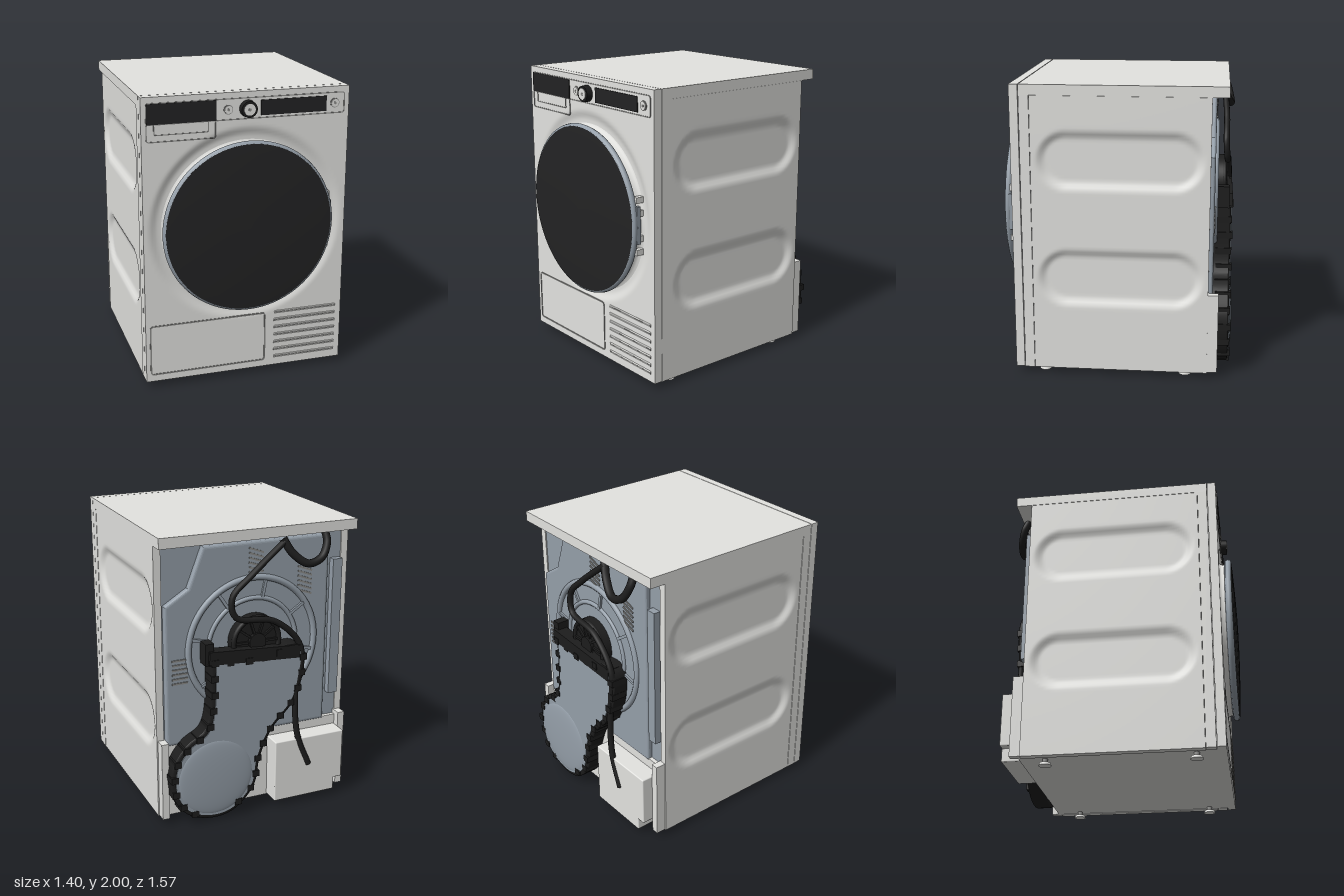
import * as THREE from 'three';
import { RoundedBoxGeometry } from 'three/addons/geometries/RoundedBoxGeometry.js';

const paint = (name, color, side = THREE.FrontSide) => {
  const m = new THREE.MeshStandardMaterial({ color, side });
  m.name = name;
  return m;
};

export function createModel() {
  const white = paint('whiteEnamel', 0xe3e3e0);
  const seam = paint('seamGrey', 0x8c8c8a);
  const steel = paint('steelBlue', 0x959fa9);
  const glass = paint('blackGlass', 0x232324);
  const rubber = paint('blackPlastic', 0x1d1d1d);

  const model = new THREE.Group();
  const add = (name, geo, mat, x = 0, y = 0, z = 0) => {
    const m = new THREE.Mesh(geo, mat);
    m.name = name;
    m.position.set(x, y, z);
    model.add(m);
    return m;
  };
  // box given by its limits
  const box = (name, mat, x0, x1, y0, y1, z0, z1) =>
    add(name, new THREE.BoxGeometry(x1 - x0, y1 - y0, z1 - z0), mat, (x0 + x1) / 2, (y0 + y1) / 2, (z0 + z1) / 2);
  // disc whose axis runs along z
  const disc = (name, mat, r, x, y, z0, z1, r2 = r) =>
    add(name, new THREE.CylinderGeometry(r2, r, z1 - z0, 48).rotateX(Math.PI / 2), mat, x, y, (z0 + z1) / 2);
  const turned = (name, mat, pts) =>
    add(name, new THREE.LatheGeometry(pts.map(p => new THREE.Vector2(...p)), 96).rotateX(Math.PI / 2), mat, 0, 1.105, 0);
  // rounded rectangle path
  const roundRect = (path, x0, x1, y0, y1, r) => {
    path.moveTo(x0 + r, y0).lineTo(x1 - r, y0);
    path.absarc(x1 - r, y0 + r, r, -Math.PI / 2, 0).absarc(x1 - r, y1 - r, r, 0, Math.PI / 2);
    path.absarc(x0 + r, y1 - r, r, Math.PI / 2, Math.PI).absarc(x0 + r, y0 + r, r, Math.PI, Math.PI * 1.5);
    return path;
  };
  const extrude = (shape, depth, bevel = 0, thick = bevel) => new THREE.ExtrudeGeometry(shape, {
    depth, curveSegments: 24, bevelEnabled: bevel > 0, bevelSize: bevel, bevelThickness: thick, bevelSegments: 4 });
  // thin outline frame on the front
  const frame = (name, x0, x1, y0, y1, r, w) => {
    const s = roundRect(new THREE.Shape(), x0, x1, y0, y1, r);
    s.holes.push(roundRect(new THREE.Path(), x0 + w, x1 - w, y0 + w, y1 - w, Math.max(r - w, 0.002)));
    add(name, extrude(s, 0.006), seam, 0, 0, 0.688);
  };
  // slab whose +z face is pressed in by a depth rule
  const pressed = (w, h, d, sw, sh, rule) => {
    const g = new THREE.BoxGeometry(w, h, d, sw, sh, 1);
    const p = g.attributes.position;
    for (let i = 0; i < p.count; i++)
      if (p.getZ(i) > 0) p.setZ(i, p.getZ(i) - rule(p.getX(i), p.getY(i)));
    g.computeVertexNormals();
    return g;
  };
  const ease = THREE.MathUtils.smoothstep;

  // cabinet
  box('cabinetCore', white, -0.655, 0.655, 0.045, 1.95, -0.58, 0.635);
  box('lid', white, -0.7, 0.7, 1.93, 2, -0.73, 0.628);
  const ribs = (x, y) => [0.517, -0.288].reduce((sum, cy) => {
    const q = Math.max(Math.abs(x) - 0.355, 0);
    return sum + 0.025 * (1 - ease(Math.hypot(q, y - cy), 0.14, 0.205));
  }, 0);
  for (const s of [-1, 1]) {
    const side = add(s > 0 ? 'leftSidePanel' : 'rightSidePanel',
      pressed(1.18, 1.888, 0.05, 70, 90, ribs), white, s * 0.673, 0.985, -0.03);
    side.rotation.y = s * Math.PI / 2;
    box('sideFrontStrip', white, Math.min(s * 0.65, s * 0.7), Math.max(s * 0.65, s * 0.7), 0.042, 1.93, 0.562, 0.628);
  }

  // front panel with a shallow dish around the door
  add('frontPanel', pressed(1.4, 1.955, 0.058, 70, 98, (x, y) => {
    const r = Math.hypot(x, y - 0.085);
    return 0.018 * (1 - ease(r, 0.6, 0.67));
  }), white, 0, 1.0225, 0.661);

  // door
  turned('doorCollar', white, [[0.6, 0.668], [0.565, 0.675], [0.548, 0.7], [0.553, 0.735]]);
  turned('doorRim', steel, [[0, 0.718], [0.56, 0.718], [0.578, 0.725], [0.586, 0.742], [0.582, 0.757], [0.568, 0.765]]);
  turned('doorGlass', glass, [[0.57, 0.764], [0.5, 0.77], [0.35, 0.778], [0.18, 0.784], [0, 0.786]]);
  for (const y of [0.93, 1.02, 1.19, 1.28]) box('doorLatch', white, 0.535, 0.57, y - 0.02, y + 0.02, 0.675, 0.73);
  box('doorHandle', steel, 0.555, 0.58, 0.99, 1.24, 0.705, 0.735);

  // control panel
  frame('controlFrame', -0.67, 0.67, 1.82, 1.962, 0.02, 0.007);
  box('drawerFace', glass, -0.665, -0.21, 1.825, 1.957, 0.688, 0.697);
  frame('drawerOutline', -0.67, -0.21, 1.708, 1.83, 0.02, 0.007);
  frame('drawerGrip', -0.62, -0.26, 1.752, 1.83, 0.01, 0.006);
  box('display', glass, 0.09, 0.54, 1.84, 1.94, 0.688, 0.696);
  disc('knobRing', rubber, 0.056, 0, 1.89, 0.688, 0.733, 0.053);
  disc('knobCap', white, 0.038, 0, 1.89, 0.73, 0.737);
  disc('knobMark', seam, 0.01, 0, 1.89, 0.735, 0.739);
  for (const x of [-0.13, 0.6]) {
    disc('buttonRing', seam, 0.031, x, 1.89, 0.688, 0.695);
    disc('button', white, 0.026, x, 1.89, 0.688, 0.699);
    disc('buttonMark', seam, 0.009, x, 1.89, 0.695, 0.701);
  }

  // filter flap and air grille
  frame('filterFlapOutline', -0.672, 0.145, 0.09, 0.453, 0.025, 0.01);
  for (let i = 0; i < 7; i++) {
    const y = 0.445 - i * 0.056;
    box('grilleSlot', seam, 0.205, 0.66, y - 0.009, y + 0.002, 0.688, 0.694);
    add('grilleLip', new THREE.CapsuleGeometry(0.006, 0.44, 4, 8).rotateZ(Math.PI / 2), white, 0.433, y + 0.006, 0.69);
  }

  // feet
  for (const x of [-0.61, 0.61]) for (const z of [0.5, -0.47]) {
    add('footPad', new THREE.CylinderGeometry(0.036, 0.042, 0.018, 24), white, x, 0.009, z);
    add('footStem', new THREE.CylinderGeometry(0.018, 0.018, 0.04, 16), seam, x, 0.035, z);
  }

  // rear wall with raised pressings
  box('rearWall', steel, -0.66, 0.66, 0.1, 1.93, -0.612, -0.57);
  const raised = new THREE.Shape([[-0.52, 0.58], [0.62, 0.58], [0.62, 1.52], [0.46, 1.62], [0.36, 1.88], [-0.52, 1.88]]
    .map(p => new THREE.Vector2(...p)));
  add('rearPressing', extrude(raised, 0.03, 0.02, 0.015), steel, 0, 0, -0.635);
  box('rearRib', steel, -0.64, -0.57, 0.75, 1.72, -0.66, -0.6);
  for (const [r, t] of [[0.46, 0.022], [0.32, 0.016]])
    add('rearRing', new THREE.TorusGeometry(r, t, 10, 72), steel, 0.02, 1.2, -0.65);
  for (let i = 0; i < 8; i++) {
    const a = i * Math.PI / 4 + 0.2;
    const spoke = add('rearSpoke', new THREE.BoxGeometry(0.14, 0.02, 0.02), steel,
      0.02 + 0.39 * Math.cos(a), 1.2 + 0.39 * Math.sin(a), -0.655);
    spoke.rotation.z = a;
  }
  for (const [x, y, tilt] of [[0.54, 1.08, 0], [0, 1.76, 0.35], [-0.36, 1.6, 0.35]])
    for (let i = 0; i < 6; i++) {
      const slot = add('rearLouvre', new THREE.BoxGeometry(0.11, 0.012, 0.008), seam, x, y + (i - 2.5) * 0.032, -0.652);
      slot.rotation.z = tilt;
    }

  // lower rear panel and pump housing
  box('rearBase', white, -0.69, 0.69, 0.045, 0.57, -0.64, -0.57);
  box('rearPost', white, -0.69, -0.64, 0.045, 0.6, -0.69, -0.6);
  box('rearPost', white, 0.64, 0.69, 0.045, 0.6, -0.69, -0.6);
  add('pumpHousing', new RoundedBoxGeometry(0.53, 0.36, 0.15, 2, 0.008), white, -0.375, 0.32, -0.695);
  add('pumpHousingFoot', new RoundedBoxGeometry(0.47, 0.12, 0.15, 2, 0.008), white, -0.345, 0.11, -0.695);

  // air duct: black rim with a steel cover and a domed fan cap
  const ductPts = [[0.33, 1.15], [0.05, 1.13], [-0.25, 1.17], [-0.29, 1.02], [-0.22, 0.8], [-0.06, 0.62], [0.03, 0.42],
    [0.07, 0.22], [0.2, 0.08], [0.36, 0.05], [0.52, 0.11], [0.61, 0.25], [0.61, 0.43], [0.52, 0.57], [0.39, 0.66], [0.34, 0.82]]
    .map(p => new THREE.Vector2(...p));
  const duct = new THREE.Shape();
  duct.moveTo(ductPts[0].x, ductPts[0].y).splineThru([...ductPts.slice(1), ductPts[0].clone()]);
  add('ductRim', extrude(duct, 0.1, 0.03, 0.012), rubber, 0, 0, -0.75);
  add('ductCover', extrude(duct, 0.01), steel, 0, 0, -0.768);
  add('fanDome', new THREE.SphereGeometry(0.27, 48, 24).scale(1, 1, 0.075), steel, 0.335, 0.33, -0.765);
  duct.getSpacedPoints(30).slice(0, 30).forEach((p, i) => {
    if (p.y > 0.07) add('ductClip', new THREE.BoxGeometry(0.05, 0.045, 0.11), rubber,
      p.x + (p.x > 0.15 ? 0.01 : -0.01), p.y, i % 2 ? -0.715 : -0.72);
  });

  // rear bearing and its bracket
  disc('bearingDisc', rubber, 0.18, 0.02, 1.24, -0.71, -0.62);
  add('bearingRing', new THREE.TorusGeometry(0.165, 0.018, 8, 48), rubber, 0.02, 1.24, -0.71);
  disc('bearingHub', rubber, 0.06, 0.02, 1.24, -0.735, -0.7);
  for (let i = 0; i < 5; i++) {
    const spoke = add('bearingSpoke', new THREE.BoxGeometry(0.3, 0.016, 0.02), rubber, 0.02, 1.24, -0.715);
    spoke.rotation.z = i * Math.PI / 5;
  }
  const arm = add('bracketArm', new THREE.BoxGeometry(0.66, 0.09, 0.09), rubber, 0.05, 1.165, -0.725);
  arm.rotation.z = 0.06;
  box('bracketEnd', rubber, 0.34, 0.4, 1.13, 1.28, -0.75, -0.66);

  // hoses
  const hose = (name, r, pts) => add(name, new THREE.TubeGeometry(
    new THREE.CatmullRomCurve3(pts.map(p => new THREE.Vector3(...p))), 80, r, 10), rubber);
  hose('drainHose', 0.021, [[-0.19, 1.9, -0.7], [0.06, 1.7, -0.72], [0.2, 1.56, -0.72], [0.18, 1.43, -0.73],
    [-0.1, 1.37, -0.74], [-0.29, 1.17, -0.75], [-0.26, 0.84, -0.75], [-0.28, 0.53, -0.76], [-0.37, 0.29, -0.765]]);
  hose('upperHose', 0.027, [[-0.17, 1.91, -0.69], [-0.23, 1.81, -0.72], [-0.33, 1.74, -0.75],
    [-0.43, 1.77, -0.745], [-0.48, 1.86, -0.72], [-0.48, 1.93, -0.69]]);
  return model;
}
